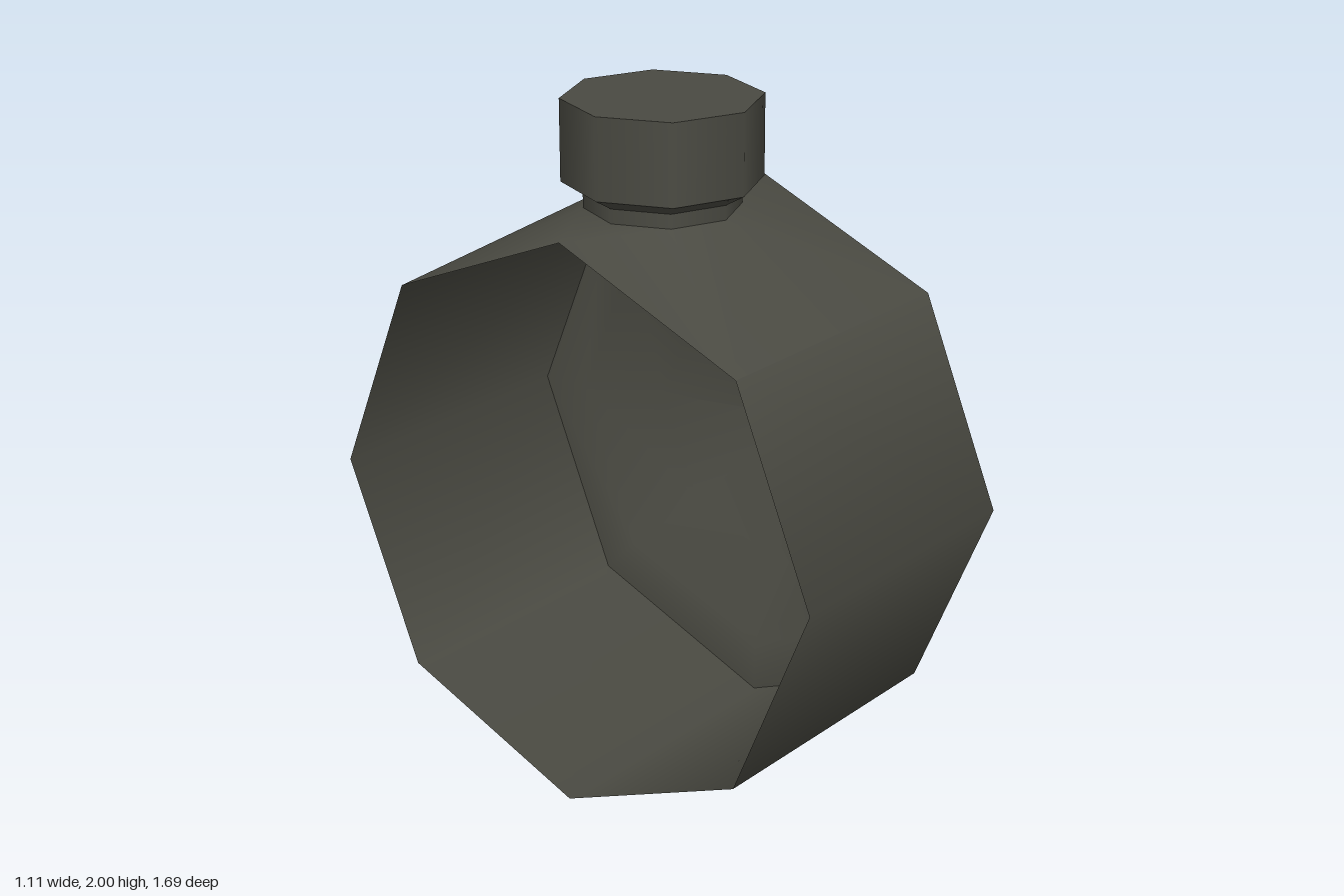
import * as THREE from 'three';

const R = 0.843, CY = 0.845;          // drum radius and axis height
const X0 = -0.555, X1 = 0.32;         // open end and domed end of the drum
const NX = -0.12, NR = 0.222;         // neck centre and radius
const TOP = CY + R;

export function createModel() {
  const group = new THREE.Group();
  const dark = new THREE.MeshStandardMaterial({ color: 0x4a4a42, side: THREE.DoubleSide });
  dark.name = 'darkOlive';

  const add = (name, geometry, x = 0, y = 0) => {
    const mesh = new THREE.Mesh(geometry, dark);
    mesh.name = name;
    mesh.position.set(x, y, 0);
    group.add(mesh);
  };

  // Drum wall: six of the eight sides, the top two belong to the shoulder
  const wall = new THREE.CylinderGeometry(R, R, X1 - X0, 8 - 2, 1, true, Math.PI * 1.75, Math.PI * 1.5);
  wall.rotateZ(-Math.PI / 2);
  add('drumWall', wall, (X0 + X1) / 2, CY);

  // Domed end with a flat rim
  const profile = [[R, X1], [0.685, X1], [0.457, 0.437], [0, 0.552]];
  const dome = new THREE.LatheGeometry(profile.map(([r, h]) => new THREE.Vector2(r, h)), 8);
  dome.rotateZ(-Math.PI / 2);
  add('domedEnd', dome, 0, CY);

  // Shoulder: the top two sides drawn up to the neck ring
  const points = [];
  for (let i = 0; i < 8; i++) {
    const a = (i * Math.PI) / 4;
    points.push(NX + NR * Math.cos(a), TOP, NR * Math.sin(a));
  }
  const s = R * Math.SQRT1_2;
  points.push(X1, TOP, 0, X0, TOP, 0);                       // 8, 9: ridge ends
  points.push(X1, CY + s, s, X0, CY + s, s);                 // 10, 11: front corners
  points.push(X1, CY + s, -s, X0, CY + s, -s);               // 12, 13: back corners
  const faces = [];
  const half = (ring, b, c, flip) => {
    const tris = [
      [8, ring[0], ring[1]], [8, ring[1], b], [b, ring[1], ring[2]], [b, ring[2], c],
      [c, ring[2], ring[3]], [c, ring[3], 9], [9, ring[3], ring[4]],
    ];
    for (const [p, q, r] of tris) faces.push(...(flip ? [p, r, q] : [p, q, r]));
  };
  half([0, 1, 2, 3, 4], 10, 11, false);
  half([0, 7, 6, 5, 4], 12, 13, true);
  const shoulder = new THREE.BufferGeometry();
  shoulder.setAttribute('position', new THREE.Float32BufferAttribute(points, 3));
  shoulder.setIndex(faces);
  shoulder.computeVertexNormals();
  add('shoulder', shoulder);

  // Neck, bevel and cap
  add('neck', new THREE.CylinderGeometry(NR, NR, 1.73 - TOP, 8, 1, true), NX, (1.73 + TOP) / 2);
  add('capBevel', new THREE.CylinderGeometry(0.283, NR, 0.035, 8, 1, true), NX, 1.7475);
  add('cap', new THREE.CylinderGeometry(0.283, 0.283, 0.235, 8), NX, 1.8825);

  return group;
}
